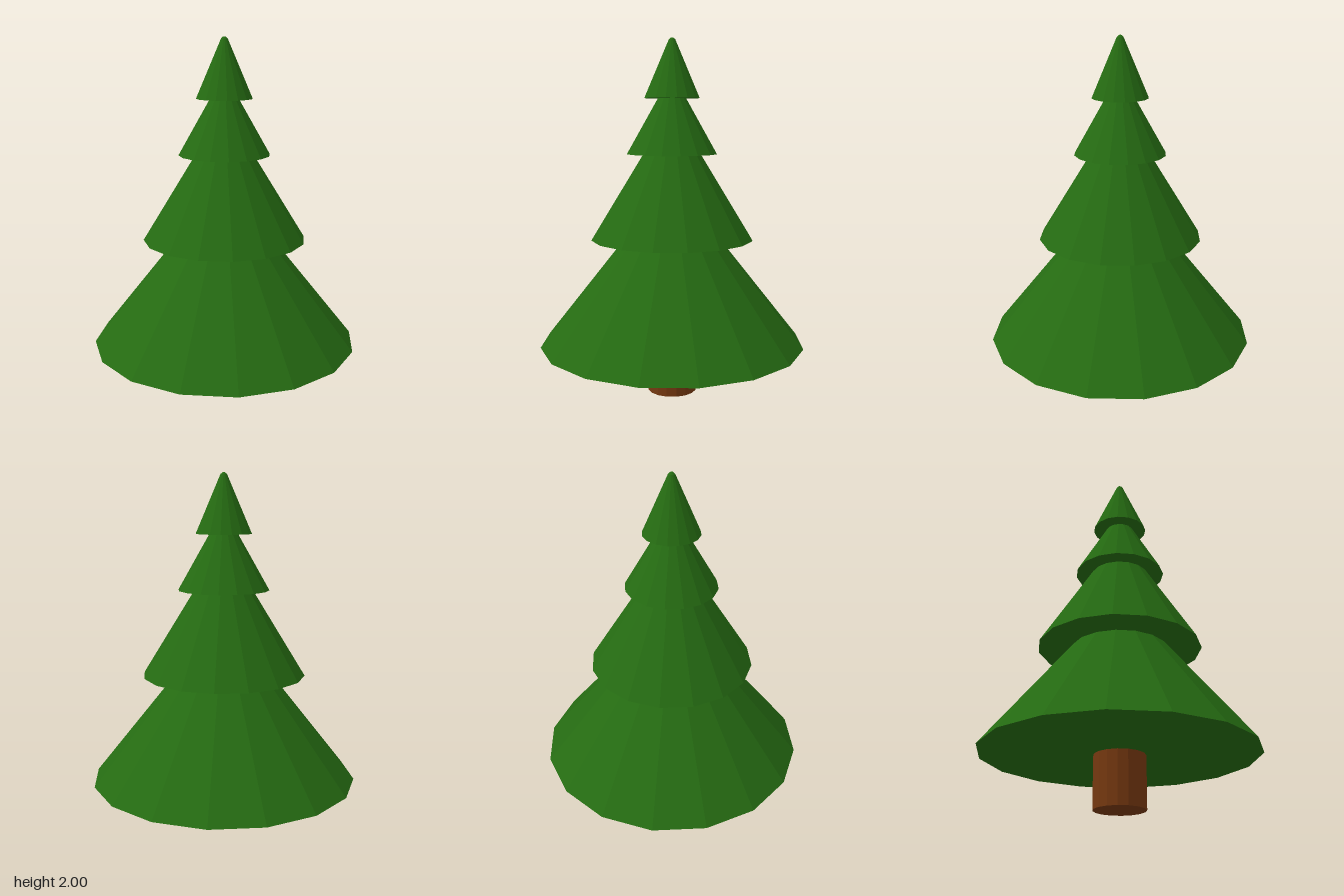
import * as THREE from 'three';

const SIDES = 16;

export function createModel() {
  const tree = new THREE.Group();
  tree.name = 'pineTree';
  const green = new THREE.MeshStandardMaterial({ color: 0x256b12, flatShading: true });
  const brown = new THREE.MeshStandardMaterial({ color: 0x753810, flatShading: true });

  // Upright frustum standing on height y0
  function frustum(name, y0, y1, bottomRadius, topRadius, material) {
    const height = y1 - y0;
    const geometry = new THREE.CylinderGeometry(topRadius, bottomRadius, height, SIDES);
    const mesh = new THREE.Mesh(geometry, material);
    mesh.position.y = y0 + height / 2;
    mesh.name = name;
    tree.add(mesh);
  }

  // Trunk, reaching just inside the lowest tier
  frustum('trunk', 0, 0.3, 0.14, 0.14, brown);

  // Foliage tiers, each tucked into the one above: base y, top y, base radius, top radius
  const tiers = [
    [0.285, 1.0, 0.75, 0.18],
    [0.888, 1.45, 0.457, 0.11],
    [1.366, 1.73, 0.254, 0.046],
    [1.673, 1.99, 0.155, 0.018],
  ];
  tiers.forEach(([y0, y1, r0, r1], i) => frustum(`foliageTier${i + 1}`, y0, y1, r0, r1, green));

  // Blunt tip
  frustum('tip', 1.99, 2, 0.018, 0.007, green);

  return tree;
}
